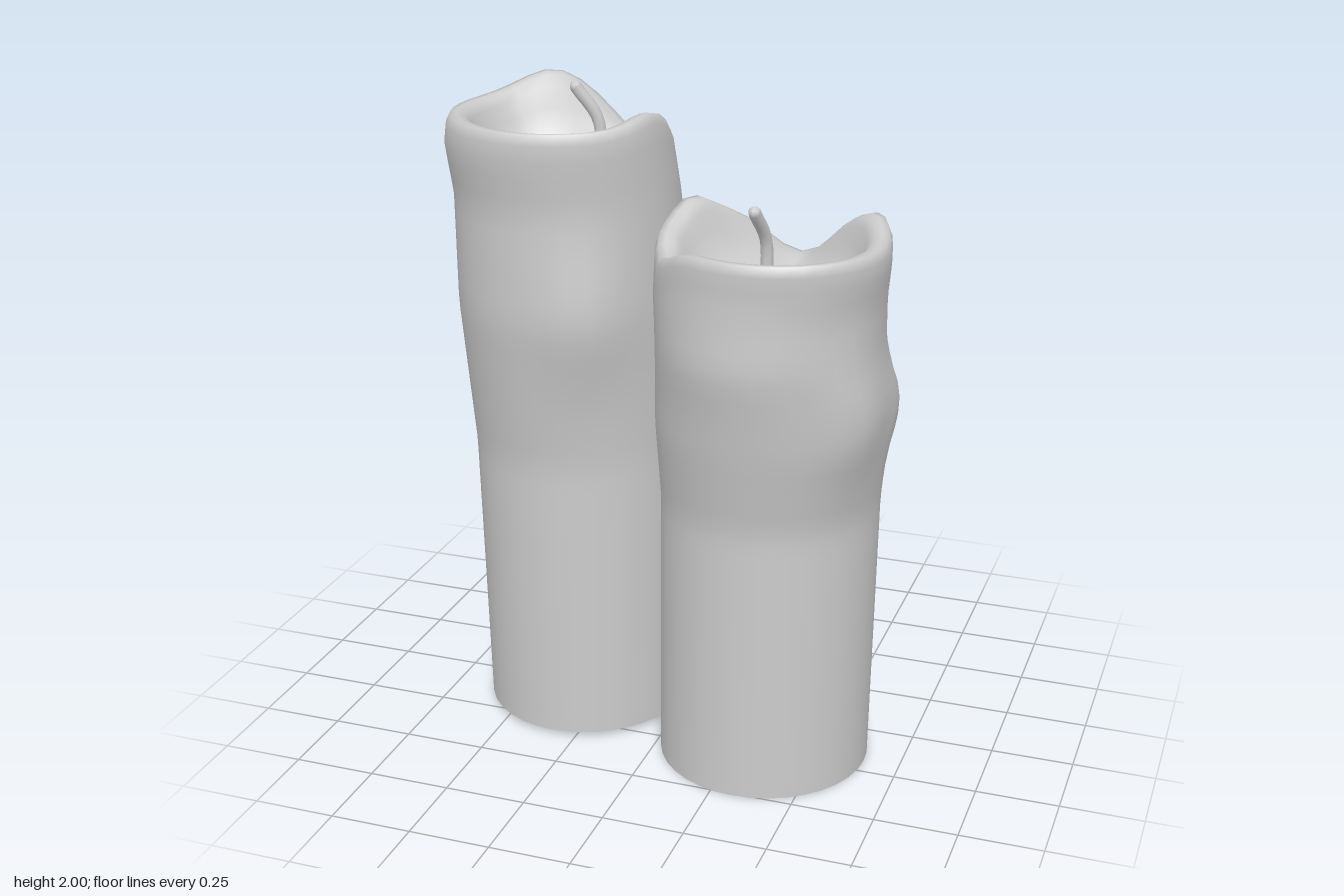
import * as THREE from 'three';

const SEG = 36, RINGS = 36;
const wax = new THREE.MeshStandardMaterial({ color: 0xcccccc, side: THREE.DoubleSide });

// Bell curve around an angle given in degrees
function bell(angle, deg, width) {
  const d = Math.abs(THREE.MathUtils.radToDeg(angle) - deg);
  return Math.exp(-((Math.min(d, 360 - d) / width) ** 2));
}

// Rim height: an even level with peaks and dips [angle, height, width]; 0 = +x, 90 = front
function rimHeight(c, angle) {
  return c.rim.reduce((y, [deg, h, width]) => y + h * bell(angle, deg, width), c.top);
}

// Extents [left x, right x, back z, front z] of the wax at height y
function extents(levels, y) {
  let i = 0;
  while (i < levels.length - 2 && y > levels[i + 1][0]) i++;
  const a = levels[i], b = levels[i + 1];
  const t = THREE.MathUtils.clamp((y - a[0]) / (b[0] - a[0]), 0, 1);
  return [1, 2, 3, 4].map(k => THREE.MathUtils.lerp(a[k], b[k], t));
}

// Point on the wax surface; scale < 1 moves it towards the axis
function surfacePoint(c, angle, y, scale = 1) {
  const [l, r, b, f] = extents(c.levels, y);
  let swell = 0;
  for (const [deg, by, amp, wide, tall] of c.bumps) {
    swell += amp * bell(angle, deg, wide) * Math.exp(-(((y - by) / tall) ** 2));
  }
  return new THREE.Vector3(
    (l + r) / 2 + Math.cos(angle) * ((r - l) / 2 + swell) * scale, y,
    (b + f) / 2 + Math.sin(angle) * ((f - b) / 2 + swell) * scale);
}

// Outer wall, rounded lip and melted bowl as one skin of rings
function waxBody(c) {
  const pos = [], index = [];
  const base = c.levels[0][0];
  // lip and bowl: [distance from the axis, drop towards the floor]
  const bowl = [[0.97, 0], [0.92, 0], [0.86, 0.03], [0.81, 0.15], [0.77, 0.4], [0.69, 0.7], [0.55, 0.9], [0.3, 0.98], [0.001, 1]];
  const rows = RINGS + 1 + bowl.length;
  for (let i = 0; i < rows; i++) {
    for (let j = 0; j < SEG; j++) {
      const angle = j / SEG * Math.PI * 2, top = rimHeight(c, angle);
      let p;
      if (i <= RINGS) {
        p = surfacePoint(c, angle, base + (top - 0.03 - base) * i / RINGS);
      } else {
        const [scale, drop] = bowl[i - RINGS - 1];
        p = surfacePoint(c, angle, top, scale);
        // the bowl floor gathers around the middle of the candle top
        const k = (1 - scale) ** 2;
        p.x += (c.middle[0] - p.x) * k;
        p.z += (c.middle[1] - p.z) * k;
        p.y = THREE.MathUtils.lerp(top, c.floor, drop);
      }
      pos.push(p.x, p.y, p.z);
    }
  }
  for (let i = 0; i < rows - 1; i++) {
    for (let j = 0; j < SEG; j++) {
      const a = i * SEG + j, b = i * SEG + (j + 1) % SEG;
      index.push(a, a + SEG, b, b, a + SEG, b + SEG);
    }
  }
  const g = new THREE.BufferGeometry();
  g.setAttribute('position', new THREE.Float32BufferAttribute(pos, 3));
  g.setIndex(index);
  g.computeVertexNormals();
  return g;
}

// Short bent wick with a rounded tip
function makeWick(points) {
  const group = new THREE.Group();
  group.name = 'wick';
  const curve = new THREE.CatmullRomCurve3(points.map(p => new THREE.Vector3(...p)));
  const stem = new THREE.Mesh(new THREE.TubeGeometry(curve, 10, 0.019, 8), wax);
  stem.name = 'wickStem';
  const tip = new THREE.Mesh(new THREE.SphereGeometry(0.019, 8, 6), wax);
  tip.name = 'wickTip';
  tip.position.copy(curve.getPoint(1));
  group.add(stem, tip);
  return group;
}

function makeCandle(name, c) {
  const group = new THREE.Group();
  group.name = name;
  const body = new THREE.Mesh(waxBody(c), wax);
  body.name = 'waxBody';
  group.add(body, makeWick(c.wick));
  return group;
}

export function createModel() {
  const model = new THREE.Group();
  model.name = 'candles';

  // levels: [y, left, right, back, front]; bumps: [angle, y, swell, width, height]
  model.add(makeCandle('tallCandle', {
    middle: [-0.34, 0.1], floor: 1.75, top: 1.935,
    levels: [[0.015, -0.645, 0, -0.345, 0.35], [0.9, -0.665, 0, -0.325, 0.355], [1.36, -0.69, 0.005, -0.35, 0.42],
      [1.7, -0.68, -0.01, -0.26, 0.42], [1.85, -0.69, -0.02, -0.22, 0.445], [2, -0.66, -0.03, -0.18, 0.455]],
    rim: [[308, -0.18, 30], [245, 0.065, 25], [10, 0.03, 20]],
    bumps: [[62, 1.38, 0.035, 20, 0.2], [317, 1.38, 0.02, 18, 0.15], [285, 1.37, 0.02, 15, 0.1], [215, 1.37, -0.03, 22, 0.2]],
    wick: [[-0.28, 1.74, -0.02], [-0.285, 1.88, -0.025], [-0.345, 1.98, 0]],
  }));

  model.add(makeCandle('middleCandle', {
    middle: [0.36, 0.26], floor: 1.5, top: 1.67,
    levels: [[0, 0, 0.64, -0.135, 0.51], [0.85, 0, 0.65, -0.165, 0.51], [1.1, 0, 0.68, -0.115, 0.56],
      [1.19, 0, 0.685, -0.155, 0.575], [1.35, 0.01, 0.665, -0.13, 0.605], [1.5, 0.01, 0.67, -0.075, 0.595],
      [1.6, 0.02, 0.685, -0.03, 0.595], [1.7, 0.03, 0.69, -0.01, 0.61]],
    rim: [[270, -0.14, 24], [205, 0.06, 20], [148, -0.05, 15], [325, 0.045, 25]],
    bumps: [[333, 1.12, 0.03, 16, 0.12], [31, 1.2, 0.03, 18, 0.18]],
    wick: [[0.3, 1.46, 0.17], [0.3, 1.62, 0.175], [0.285, 1.715, 0.24]],
  }));

  model.add(makeCandle('shortCandle', {
    middle: [0.11, -0.34], floor: 0.92, top: 1.045,
    levels: [[0, -0.065, 0.405, -0.605, -0.135], [0.55, -0.067, 0.403, -0.605, -0.133],
      [0.85, -0.09, 0.39, -0.595, -0.13], [1.08, -0.14, 0.34, -0.575, -0.1]],
    rim: [[5, -0.085, 35], [280, 0.035, 20]],
    bumps: [[335, 0.76, 0.04, 32, 0.07], [330, 0.56, 0.025, 25, 0.06]],
    wick: [[0.115, 0.91, -0.36], [0.117, 1, -0.355], [0.15, 1.055, -0.31]],
  }));
  return model;
}
